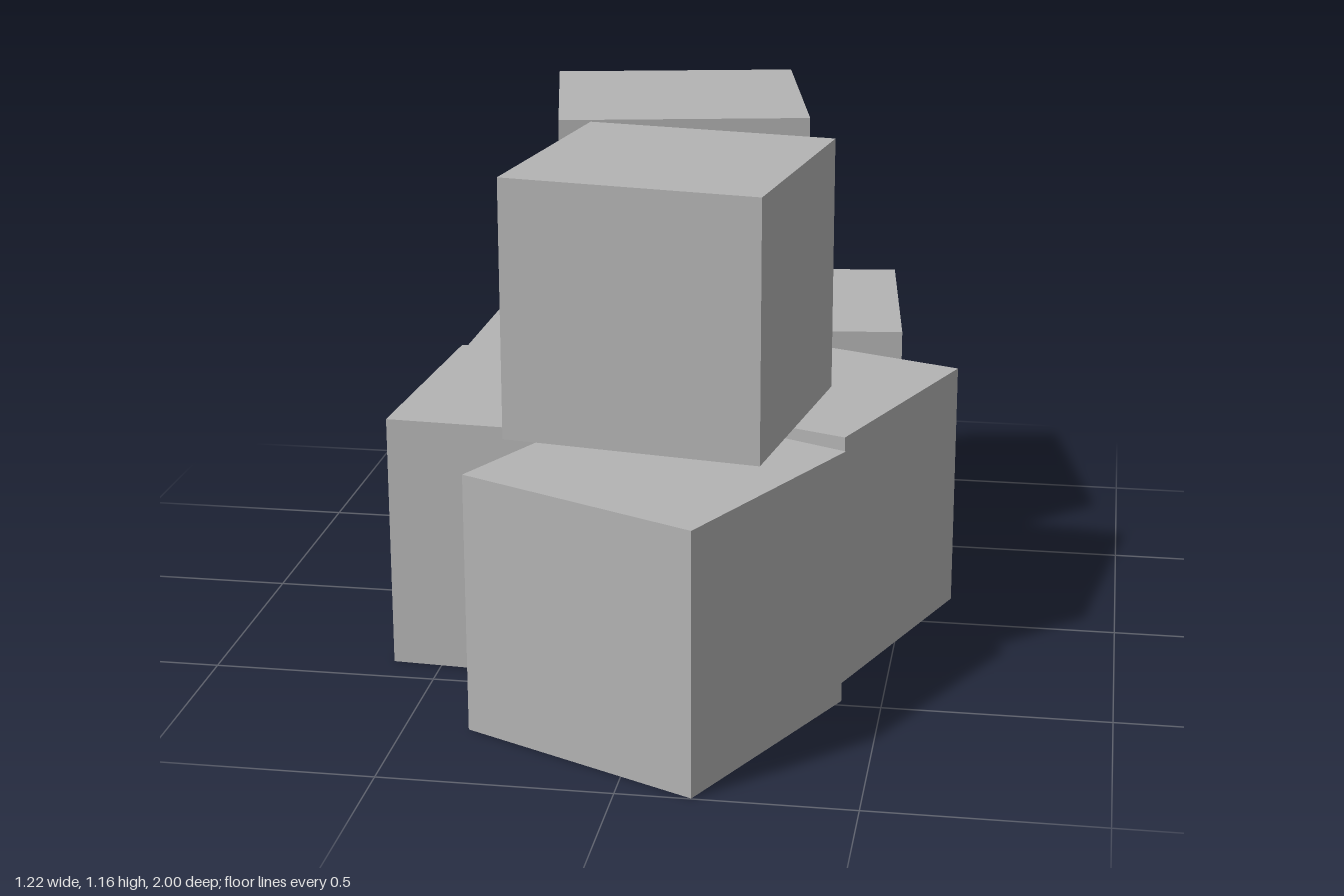
import * as THREE from 'three';

const SIZE = 0.578;

// name, x, z, layer, turn about y
const CUBES = [
  ['backCube', 0.14, -0.683, 0, 0.113],
  ['leftSideCube', 0.237, 0.012, 0, -0.374],
  ['rightSideCube', -0.305, 0.145, 0, -0.061],
  ['rightBackCube', -0.27, -0.289, 0, -0.02],
  ['frontCube', 0.025, 0.612, 0, -0.452],
  ['upperBackCube', -0.085, -0.405, 1, 0.194],
  ['upperFrontCube', 0.003, 0.27, 1, -0.158],
];

export function createModel() {
  const model = new THREE.Group();
  model.name = 'cubePile';
  const grey = new THREE.MeshStandardMaterial({ color: 0xb4b4b4 });
  grey.name = 'grey';
  const geometry = new THREE.BoxGeometry(SIZE, SIZE, SIZE);

  // Five loosely turned cubes on the ground, two stacked on top
  for (const [name, x, z, layer, turn] of CUBES) {
    const cube = new THREE.Mesh(geometry, grey);
    cube.name = name;
    cube.position.set(x, SIZE * (layer + 0.5), z);
    cube.rotation.y = turn;
    model.add(cube);
  }
  return model;
}
